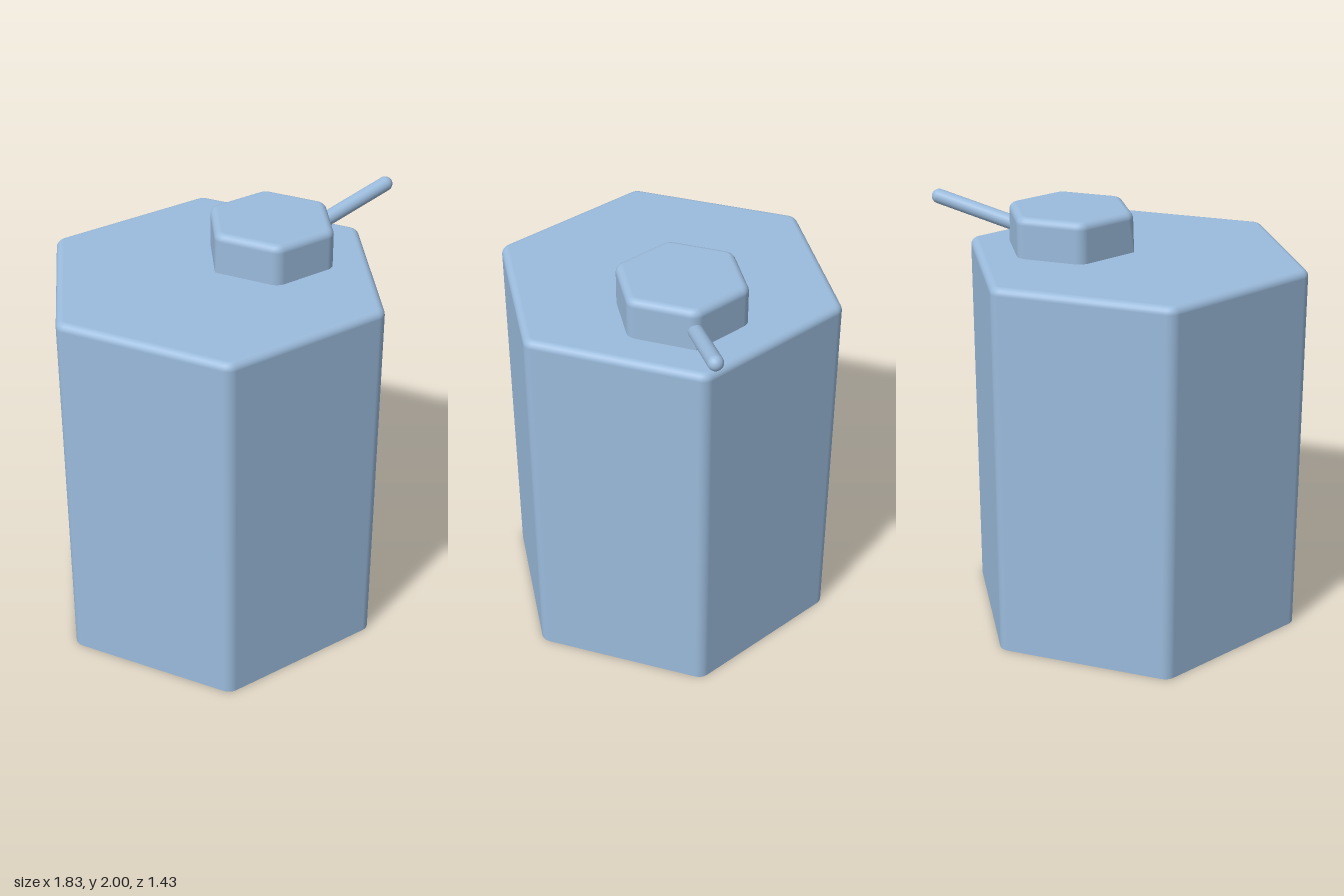
import * as THREE from 'three';

const ARC = 6;    // segments per rounded corner
const BEVEL = 6;  // segments over the rounded top edge

// Open-bottomed hexagonal shell with rounded corners and a rounded top edge.
// cornerRadius(k, t): radius of corner k at height fraction t of the wall.
function hexShell(apothem, height, bevel, cornerRadius) {
  const levels = [[0, 0, 0]]; // [height fraction of wall, bevel angle, y]
  for (let i = 0; i <= BEVEL; i++) {
    const phi = (i / BEVEL) * Math.PI / 2;
    levels.push([1, phi, height - bevel + bevel * Math.sin(phi)]);
  }
  const pos = [], nor = [], idx = [];
  for (const [t, phi, y] of levels) {
    const inset = bevel * (1 - Math.cos(phi));
    for (let k = 0; k < 6; k++) {
      const dir = k * Math.PI / 3;
      const r = cornerRadius(k, t);
      const c = (apothem - r) / Math.cos(Math.PI / 6);
      for (let s = 0; s <= ARC; s++) {
        const a = dir + (s / ARC - 0.5) * Math.PI / 3;
        pos.push(c * Math.cos(dir) + (r - inset) * Math.cos(a), y,
          c * Math.sin(dir) + (r - inset) * Math.sin(a));
        nor.push(Math.cos(a) * Math.cos(phi), Math.sin(phi), Math.sin(a) * Math.cos(phi));
      }
    }
  }
  const n = 6 * (ARC + 1);
  for (let l = 0; l < levels.length - 1; l++) {
    for (let i = 0; i < n; i++) {
      const j = (i + 1) % n, b = l * n, u = b + n;
      idx.push(b + i, u + i, b + j, b + j, u + i, u + j);
    }
  }
  // flat top
  const last = (levels.length - 1) * n, centre = pos.length / 3;
  pos.push(0, height, 0);
  nor.push(0, 1, 0);
  for (let i = 0; i < n; i++) idx.push(centre, last + (i + 1) % n, last + i);

  const g = new THREE.BufferGeometry();
  g.setAttribute('position', new THREE.Float32BufferAttribute(pos, 3));
  g.setAttribute('normal', new THREE.Float32BufferAttribute(nor, 3));
  g.setIndex(idx);
  return g;
}

export function createModel() {
  const group = new THREE.Group();
  const material = new THREE.MeshStandardMaterial({ color: 0x9bbbdc, side: THREE.DoubleSide });
  const add = (name, geometry) => {
    const mesh = new THREE.Mesh(geometry, material);
    mesh.name = name;
    group.add(mesh);
    return mesh;
  };

  // hollow body, open underneath
  add('body', hexShell(0.715, 1.785, 0.035, () => 0.06)).position.x = -0.103;

  // small raised cap; its two side corners go from sharp to rounded upwards
  const cap = add('cap', hexShell(0.27, 0.19, 0.035,
    (k, t) => (k % 3 === 0 ? 0.005 + 0.055 * t : 0.06)));
  cap.position.set(0.21, 1.785, 0);

  // round-ended lever slanting up from the cap
  const from = new THREE.Vector3(0.46, 1.86, 0), to = new THREE.Vector3(0.877, 1.965, 0);
  const along = to.clone().sub(from);
  const lever = add('lever', new THREE.CapsuleGeometry(0.035, along.length(), 6, 20));
  lever.position.copy(from).add(to).multiplyScalar(0.5);
  lever.quaternion.setFromUnitVectors(new THREE.Vector3(0, 1, 0), along.normalize());

  return group;
}
